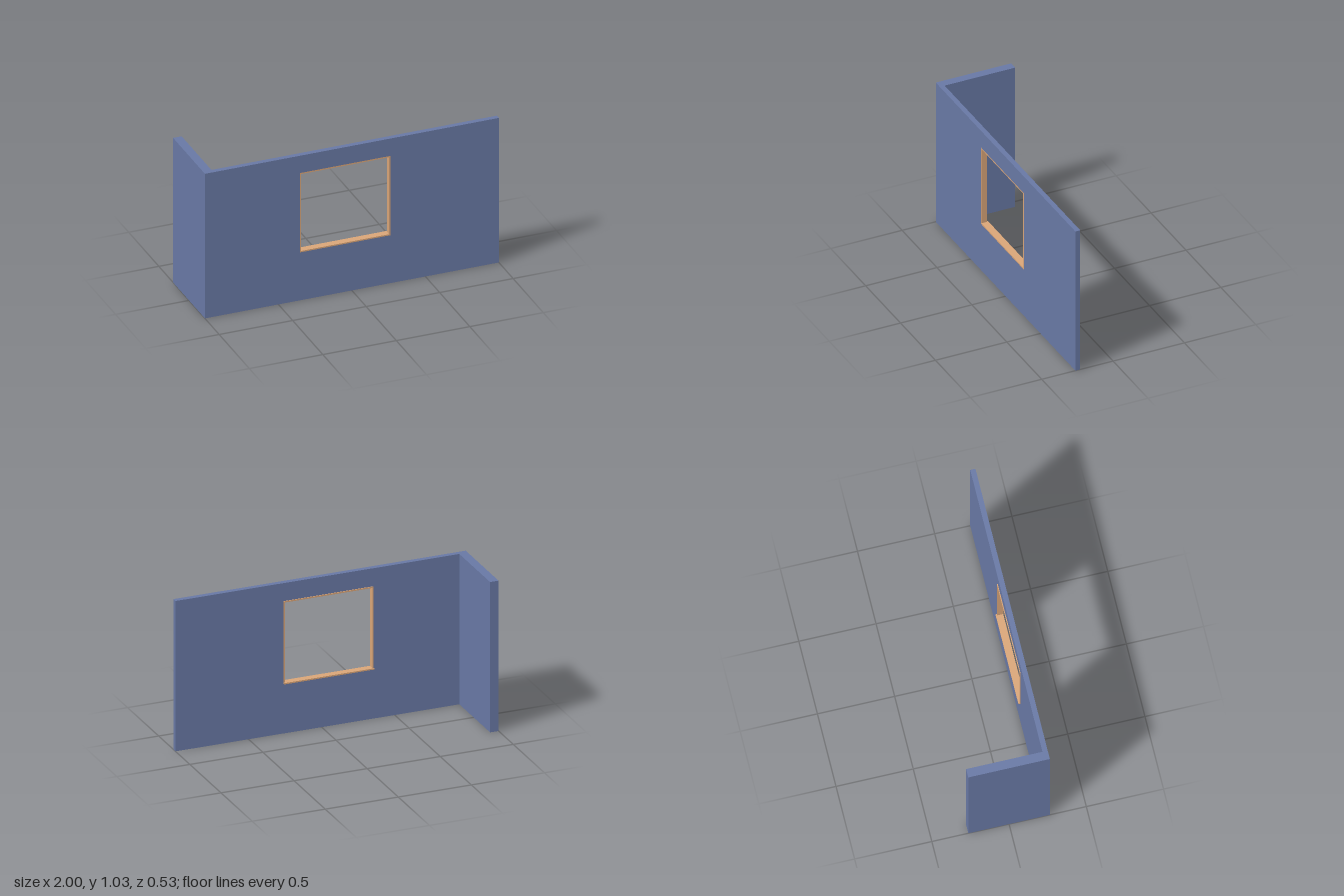
import * as THREE from 'three';

const wallMat = new THREE.MeshStandardMaterial({ color: 0x6878a4 });
const woodMat = new THREE.MeshStandardMaterial({ color: 0xd9a578 });

// Box given by its limits on each axis
function block(name, mat, [x0, x1], [y0, y1], [z0, z1]) {
  const mesh = new THREE.Mesh(new THREE.BoxGeometry(x1 - x0, y1 - y0, z1 - z0), mat);
  mesh.position.set((x0 + x1) / 2, (y0 + y1) / 2, (z0 + z1) / 2);
  mesh.name = name;
  return mesh;
}

function rectangle(Type, x0, x1, y0, y1) {
  return new Type([[x0, y0], [x1, y0], [x1, y1], [x0, y1]].map(([x, y]) => new THREE.Vector2(x, y)));
}

// Rectangular panel with a rectangular opening, extruded from z0 to z1
function openPanel(name, mat, outer, inner, z0, z1) {
  const shape = rectangle(THREE.Shape, ...outer);
  shape.holes.push(rectangle(THREE.Path, ...inner));
  const geo = new THREE.ExtrudeGeometry(shape, { depth: z1 - z0, bevelEnabled: false });
  const mesh = new THREE.Mesh(geo, mat);
  mesh.position.z = z0;
  mesh.name = name;
  return mesh;
}

export function createModel() {
  const model = new THREE.Group();
  model.name = 'cornerWall';

  const height = 1.027, front = 0.264, back = 0.23;
  const [x0, x1, y0, y1] = [-0.354, 0.262, 0.34, 0.904];
  const t = 0.009; // frame bar thickness

  // Long front wall with the window opening
  model.add(openPanel('frontWall', wallMat, [-1, 1, 0, height], [x0, x1, y0, y1], back, front));

  // Thicker return wall at the model's right end
  model.add(block('sideWall', wallMat, [-1, -0.942], [0, height], [-0.264, back]));

  // Wooden lining of the opening, standing slightly proud at the back
  model.add(openPanel('windowFrame', woodMat, [x0, x1, y0, y1],
    [x0 + t, x1 - t, y0 + t, y1 - t], 0.225, front));

  // Narrow sill along the inner side
  model.add(block('windowSill', woodMat, [x0, x1], [y0, y0 + t], [0.216, 0.225]));

  return model;
}
